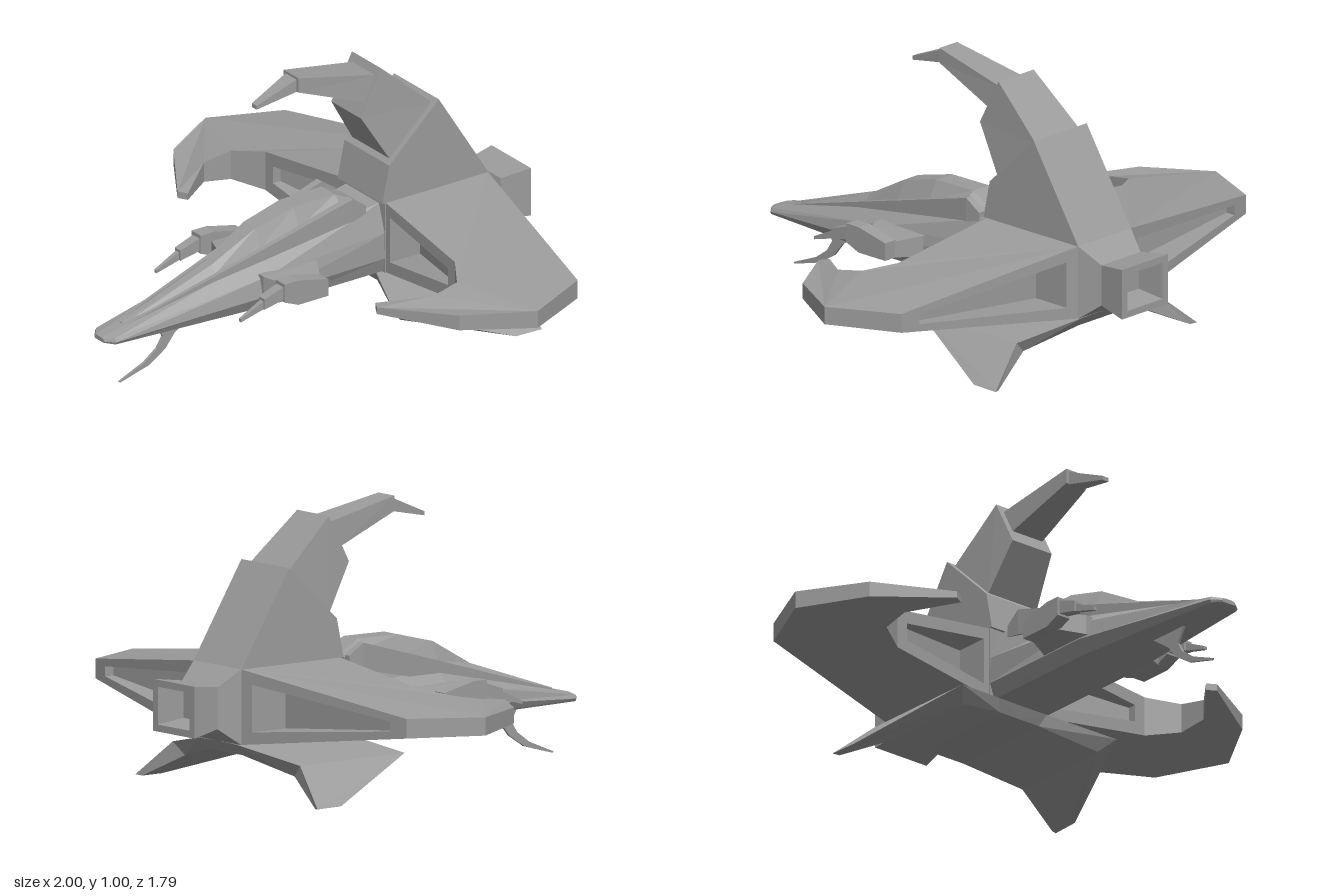
import * as THREE from 'three';

const material = new THREE.MeshStandardMaterial({ color: 0x9c9c9c, flatShading: true });

// Closed flat-shaded mesh from triangles; the signed volume decides the winding
function solid(name, tris) {
  let volume = 0;
  const v = tris.map(t => t.map(p => new THREE.Vector3(...p)));
  for (const [a, b, c] of v) volume += a.dot(b.clone().cross(c));
  const points = v.flatMap(([a, b, c]) => (volume < 0 ? [a, c, b] : [a, b, c]));
  const geometry = new THREE.BufferGeometry().setFromPoints(points);
  geometry.computeVertexNormals();
  const mesh = new THREE.Mesh(geometry, material);
  mesh.name = name;
  return mesh;
}

const quad = (a, b, c, d) => [[a, b, c], [a, c, d]];
const mirror = tris => tris.map(t => t.map(([x, y, z]) => [-x, y, z]));
const mix = (a, b, t) => a.map((n, i) => n + (b[i] - n) * t);

// Skin over equal-sized rings, capped at both ends
function loft(rings) {
  const tris = [], n = rings[0].length;
  for (let i = 0; i + 1 < rings.length; i++)
    for (let j = 0; j < n; j++) {
      const k = (j + 1) % n;
      tris.push(...quad(rings[i][j], rings[i][k], rings[i + 1][k], rings[i + 1][j]));
    }
  const first = rings[0], last = rings[rings.length - 1];
  for (let j = 1; j + 1 < n; j++)
    tris.push([first[0], first[j + 1], first[j]], [last[0], last[j], last[j + 1]]);
  return tris;
}

// Ring of half-width w between two [z, y] points of a side profile
const slice = (w, [za, ya], [zb, yb]) => [[-w, ya, za], [w, ya, za], [w, yb, zb], [-w, yb, zb]];
// Upright rectangle at depth z
const rect = (x0, x1, y0, y1, z) => [[x0, y0, z], [x1, y0, z], [x1, y1, z], [x0, y1, z]];
// Symmetric section from [x, y] points listed bottom to top
const section = (z, half) => [
  ...half.map(([x, y]) => [x, y, z]),
  ...half.slice().reverse().map(([x, y]) => [-x, y, z]),
];

// Wall with a wedge-shaped window, deepest beside the hull
function windowWall(at, bt, bb, ab, depth) {
  const outer = [at, bt, bb, ab];
  const nearA = at[0] < bt[0];
  const [a, b] = nearA ? [0.07, 0.9] : [0.1, 0.93];
  const [ma, mb] = nearA ? [0.17, 0.3] : [0.3, 0.17];
  const inner = [[a, ma], [b, mb], [b, 1 - mb], [a, 1 - ma]]
    .map(([u, v]) => mix(mix(at, bt, u), mix(ab, bb, u), v));
  const floor = inner.map(([x, y, z]) => [x, y, z + depth * (x < 0.4 ? 1 : 0.25)]);
  const tris = quad(...floor);
  for (let i = 0; i < 4; i++) {
    const k = (i + 1) % 4;
    tris.push(...quad(outer[i], outer[k], inner[k], inner[i]));
    tris.push(...quad(inner[i], inner[k], floor[k], floor[i]));
  }
  return tris;
}

// Hooked wing: outline as [x, z, top y, bottom y]
function wing() {
  const outline = [
    [0.13, -0.70, 0.46, 0.19], [0.88, -0.55, 0.36, 0.29], [1, -0.29, 0.355, 0.29],
    [0.86, -0.05, 0.35, 0.293], [0.60, 0.12, 0.33, 0.305], [0.565, 0.10, 0.33, 0.305],
    [0.69, -0.06, 0.36, 0.285], [0.68, -0.17, 0.38, 0.27], [0.57, -0.24, 0.398, 0.25],
    [0.13, -0.255, 0.46, 0.19],
  ];
  const top = outline.map(([x, z, y]) => [x, y, z]);
  const bottom = outline.map(([x, z, , y]) => [x, y, z]);
  const tris = [];
  const flat = outline.map(([x, z]) => new THREE.Vector2(x, z));
  for (const [i, j, k] of THREE.ShapeUtils.triangulateShape(flat, [])) {
    const up = flat[j].clone().sub(flat[i]).cross(flat[k].clone().sub(flat[i])) < 0;
    const [a, b, c] = up ? [i, j, k] : [i, k, j];
    tris.push([top[a], top[b], top[c]], [bottom[a], bottom[c], bottom[b]]);
  }
  outline.forEach((_, i) => {
    const k = (i + 1) % outline.length;
    const wall = [top[i], top[k], bottom[k], bottom[i]];
    if (i === 0) tris.push(...windowWall(...wall, 0.15));
    else if (i === 8) tris.push(...windowWall(...wall, -0.13));
    else tris.push(...quad(...wall));
  });
  return tris;
}

export function createModel() {
  const model = new THREE.Group();
  model.name = 'scorpionFighter';
  const add = (name, tris) => model.add(solid(name, tris));
  const addPair = (name, tris) => {
    add(name + 'Left', tris);
    add(name + 'Right', mirror(tris));
  };

  // Front hull
  add('frontHull', loft([
    section(0.893, [[0.025, 0.187], [0.03, 0.193], [0.025, 0.2], [0.015, 0.203]]),
    section(0.865, [[0.058, 0.185], [0.064, 0.195], [0.056, 0.208], [0.02, 0.215]]),
    section(0.24, [[0.115, 0.188], [0.14, 0.24], [0.125, 0.31], [0.065, 0.365]]),
    section(-0.26, [[0.115, 0.188], [0.135, 0.245], [0.134, 0.345], [0.1, 0.45]]),
  ]));

  // Canopy along the spine
  add('canopy', loft([
    [0.8, 0.012, 0.21, 0.01, 0.225, 0.006, 0.234], [0.42, 0.05, 0.30, 0.045, 0.335, 0.02, 0.36],
    [0.24, 0.07, 0.33, 0.065, 0.39, 0.035, 0.458], [0.08, 0.08, 0.36, 0.075, 0.43, 0.04, 0.498],
    [-0.1, 0.085, 0.40, 0.08, 0.47, 0.04, 0.5], [-0.19, 0.085, 0.42, 0.08, 0.445, 0.045, 0.455],
  ].map(([z, ...p]) => section(z, [[p[0], p[1]], [p[2], p[3]], [p[4], p[5]]]))));

  // Raised rails beside the canopy
  addPair('rail', loft([
    rect(0.018, 0.028, 0.2, 0.23, 0.8), rect(0.062, 0.082, 0.32, 0.392, 0.24),
    rect(0.078, 0.108, 0.4, 0.497, -0.13), rect(0.08, 0.105, 0.41, 0.455, -0.19),
  ]));

  // Rear block flowing into a hollow exhaust
  add('rearHullAndExhaust', loft([
    rect(-0.135, 0.135, 0.19, 0.46, -0.25), rect(-0.135, 0.135, 0.19, 0.46, -0.70),
    rect(-0.1, 0.1, 0.25, 0.40, -0.78), rect(-0.118, 0.118, 0.23, 0.415, -0.897),
    rect(-0.09, 0.09, 0.255, 0.39, -0.897), rect(-0.08, 0.08, 0.27, 0.38, -0.79),
  ]));

  // Wings
  addPair('wing', wing());

  // Segmented tail arching forward
  [
    ['tailBase', [0.135, [-0.70, 0.46], [-0.24, 0.46]], [0.135, [-0.485, 0.80], [-0.27, 0.60]]],
    ['tailMiddle', [0.112, [-0.475, 0.78], [-0.29, 0.61]], [0.09, [-0.27, 0.96], [-0.18, 0.79]]],
    ['tailEnd', [0.068, [-0.265, 0.93], [-0.205, 0.84]], [0.045, [0.06, 0.995], [0.06, 0.94]]],
    ['stinger', [0.034, [0.05, 0.99], [0.05, 0.94]], [0.014, [0.22, 0.92], [0.22, 0.905]]],
  ].forEach(([name, a, b]) => add(name, loft([slice(...a), slice(...b)])));

  // Bent fins under the hull
  addPair('lowerFin', loft([
    [[0, 0.19, -0.23], [0, 0.19, -0.70], [0, 0.145, -0.66], [0, 0.145, -0.25]],
    [[0.11, 0.188, -0.23], [0.11, 0.188, -0.70], [0.09, 0.145, -0.66], [0.09, 0.145, -0.25]],
    [[0.355, 0.135, -0.14], [0.36, 0.135, -0.615], [0.31, 0.09, -0.60], [0.31, 0.09, -0.19]],
    [[0.51, 0.003, -0.55], [0.515, 0.003, -0.66], [0.49, 0, -0.65], [0.49, 0, -0.56]],
  ]));

  // Gun pods: bracket, housing and drooping barrel
  const bracketRing = (x, y0, y1, z0, z1) => [[x, y0, z0], [x, y0, z1], [x, y1, z1], [x, y1, z0]];
  addPair('gunBracket', loft([
    bracketRing(0.11, 0.245, 0.32, 0.05, 0.28), bracketRing(0.14, 0.245, 0.32, 0.05, 0.28),
    bracketRing(0.23, 0.25, 0.31, 0.10, 0.24),
  ]));
  addPair('gunHousing', loft([
    rect(0.225, 0.28, 0.25, 0.315, 0.1), rect(0.225, 0.28, 0.25, 0.345, 0.23),
    rect(0.225, 0.28, 0.275, 0.345, 0.29),
  ]));
  addPair('gunBarrel', loft([
    rect(0.232, 0.272, 0.285, 0.335, 0.28), rect(0.236, 0.27, 0.265, 0.305, 0.37),
    rect(0.244, 0.264, 0.265, 0.295, 0.37), rect(0.248, 0.26, 0.238, 0.25, 0.465),
  ]));

  // Curved chin spur
  add('chinSpur', loft([
    slice(0.005, [0.65, 0.20], [0.49, 0.20]), slice(0.005, [0.65, 0.185], [0.49, 0.185]),
    slice(0.005, [0.62, 0.13], [0.57, 0.13]), slice(0.005, [0.645, 0.09], [0.61, 0.08]),
    slice(0.005, [0.70, 0.05], [0.68, 0.035]), slice(0.003, [0.81, 0.005], [0.805, 0]),
  ]));

  return model;
}
